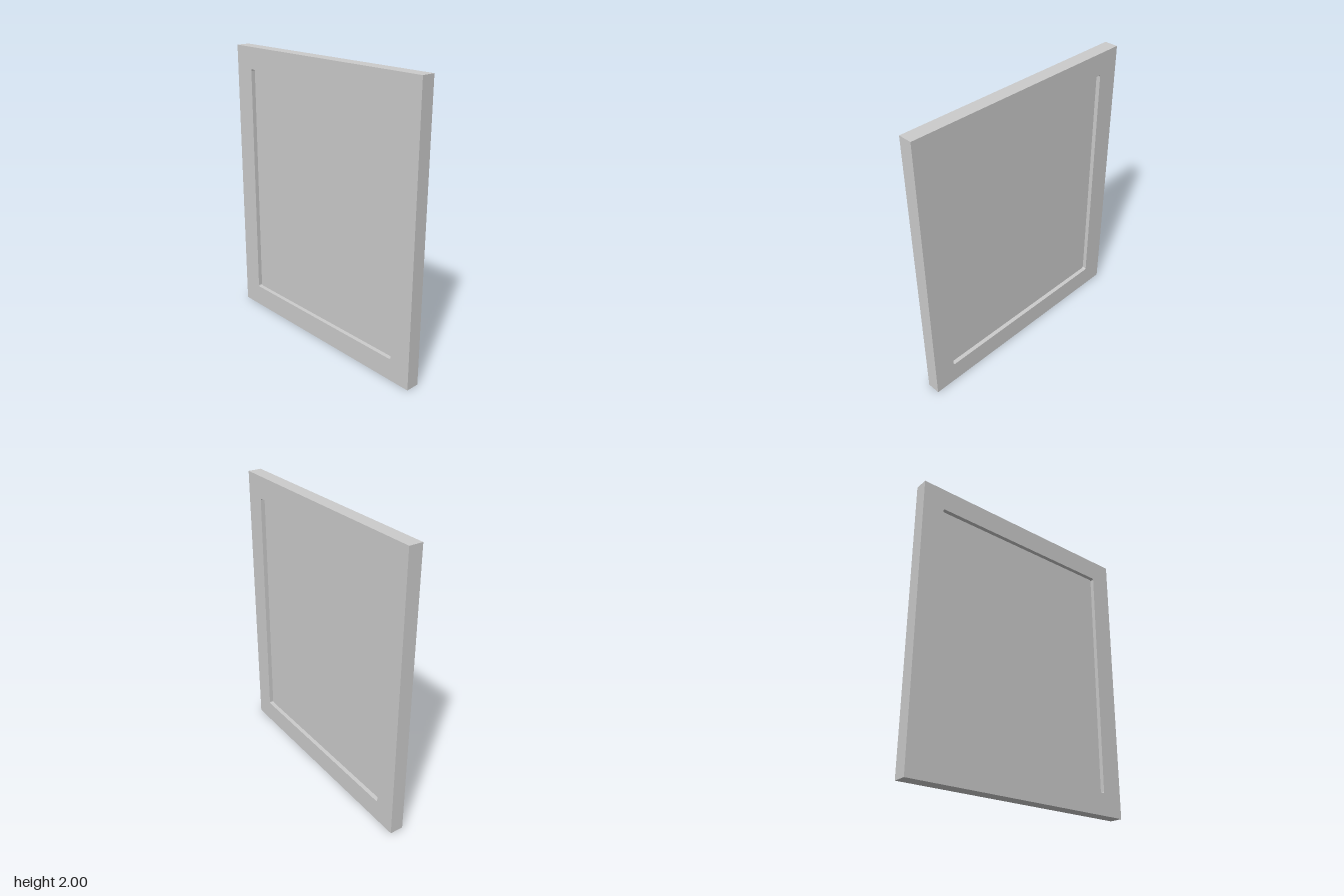
import * as THREE from 'three';

const W = 1.71, H = 2, D = 0.096; // outer size
const BORDER = 0.155, RADIUS = 0.012, RECESS = 0.03;

// Rectangle centred on the origin, with rounded corners when r > 0
function rectangle(target, w, h, r) {
  const x = w / 2, y = h / 2;
  target.moveTo(-x + r, -y);
  target.lineTo(x - r, -y);
  if (r) target.absarc(x - r, -y + r, r, -Math.PI / 2, 0);
  target.lineTo(x, y - r);
  if (r) target.absarc(x - r, y - r, r, 0, Math.PI / 2);
  target.lineTo(-x + r, y);
  if (r) target.absarc(-x + r, y - r, r, Math.PI / 2, Math.PI);
  target.lineTo(-x, -y + r);
  if (r) target.absarc(-x + r, -y + r, r, Math.PI, Math.PI * 1.5);
  return target;
}

export function createModel() {
  const group = new THREE.Group();
  const material = new THREE.MeshStandardMaterial({ color: 0xcccccc });
  const innerW = W - 2 * BORDER, innerH = H - 2 * BORDER;

  // Flat border with a rounded-corner opening
  const outline = rectangle(new THREE.Shape(), W, H, 0);
  outline.holes.push(rectangle(new THREE.Path(), innerW, innerH, RADIUS));
  const frameGeometry = new THREE.ExtrudeGeometry(outline, { depth: D, bevelEnabled: false, curveSegments: 6 });
  frameGeometry.translate(0, H / 2, -D / 2);
  const frame = new THREE.Mesh(frameGeometry, material);
  frame.name = 'frame';
  group.add(frame);

  // Panel filling the opening, set back equally from both faces
  const panelShape = rectangle(new THREE.Shape(), innerW, innerH, RADIUS);
  const thickness = D - 2 * RECESS;
  const panelGeometry = new THREE.ExtrudeGeometry(panelShape, { depth: thickness, bevelEnabled: false, curveSegments: 6 });
  panelGeometry.translate(0, H / 2, -thickness / 2);
  const panel = new THREE.Mesh(panelGeometry, material);
  panel.name = 'recessedPanel';
  group.add(panel);

  return group;
}
